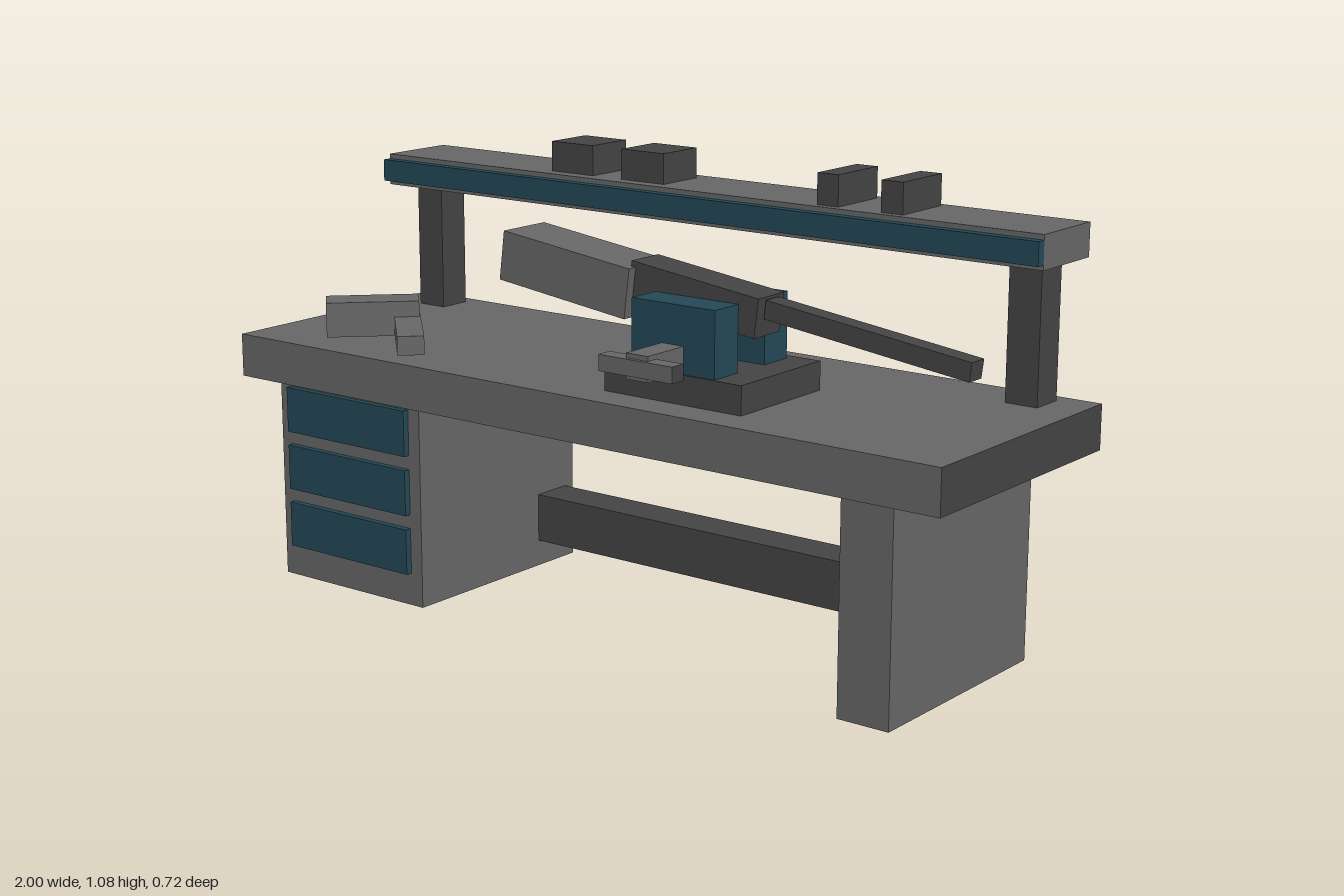
import * as THREE from 'three';

const mat = (name, color) => {
  const m = new THREE.MeshStandardMaterial({ color });
  m.name = name;
  return m;
};

export function createModel() {
  const grey = mat('mid grey', 0x666666);
  const dark = mat('dark grey', 0x444444);
  const teal = mat('dark teal', 0x244856);
  const root = new THREE.Group();

  // box from its extents on each axis
  const box = (name, m, [x0, x1], [y0, y1], [z0, z1]) => {
    const mesh = new THREE.Mesh(new THREE.BoxGeometry(x1 - x0, y1 - y0, z1 - z0), m);
    mesh.position.set((x0 + x1) / 2, (y0 + y1) / 2, (z0 + z1) / 2);
    mesh.name = name;
    root.add(mesh);
    return mesh;
  };
  // box from its centre and size, turned about y and z
  const turned = (name, m, pos, size, ry, rz) => {
    const mesh = new THREE.Mesh(new THREE.BoxGeometry(...size), m);
    mesh.position.set(...pos);
    mesh.rotation.set(0, ry, rz);
    mesh.name = name;
    root.add(mesh);
    return mesh;
  };

  // bench: slab with dark ends and underside (+x, -x, +y, -y, +z, -z)
  box('benchTop', [dark, dark, grey, dark, grey, grey], [-1, 1], [0.503, 0.608], [-0.345, 0.32]);
  box('drawerCabinet', grey, [-0.92, -0.46], [0, 0.503], [-0.295, 0.27]);
  box('sideLeg', grey, [0.73, 0.86], [0, 0.503], [-0.295, 0.27]);
  box('stretcher', dark, [-0.46, 0.73], [0.065, 0.185], [-0.265, -0.16]);
  for (const y of [0.08, 0.226, 0.372]) {
    box('drawerFront', teal, [-0.885, -0.495], [y, y + 0.112], [0.27, 0.286]);
  }

  // raised shelf
  for (const s of [-1, 1]) {
    const x = s * 0.868;
    box('shelfPost', dark, [x - 0.04, x + 0.04], [0.608, 0.924], [-0.308, -0.223]);
  }
  box('shelf', grey, [-0.945, 0.945], [0.924, 1.002], [-0.36, -0.16]);
  box('shelfFrontStrip', teal, [-0.945, 0.945], [0.936, 0.99], [-0.16, -0.137]);

  // small boxes on the shelf
  for (const x of [-0.435, -0.22]) {
    box('shelfBox', dark, [x, x + 0.128], [1.002, 1.075], [-0.323, -0.195]);
  }
  for (const x of [0.354, 0.524]) {
    box('narrowShelfBox', dark, [x, x + 0.057], [1.002, 1.075], [-0.34, -0.18]);
  }

  // vise
  box('viseBase', dark, [0.07, 0.445], [0.608, 0.675], [-0.07, 0.23]);
  box('rearJaw', teal, [0.143, 0.37], [0.675, 0.828], [-0.046, 0.04]);
  box('frontJaw', teal, [0.143, 0.37], [0.675, 0.828], [0.14, 0.225]);
  box('viseScrew', grey, [0.226, 0.286], [0.68, 0.738], [0.225, 0.35]);
  box('viseHandle', [dark, dark, grey, grey, grey, grey], [0.158, 0.358], [0.69, 0.727], [0.32, 0.36]);

  // clamped workpiece, tilted down toward +x
  const tilt = -0.125;
  turned('stock', grey, [-0.105, 0.84, 0.09], [0.37, 0.117, 0.143], 0, tilt);
  turned('receiver', dark, [0.243, 0.823, 0.09], [0.35, 0.09, 0.096], 0, tilt);
  turned('barrel', dark, [0.68, 0.786, 0.09], [0.52, 0.043, 0.048], 0, tilt);
  turned('grip', dark, [0.125, 0.75, 0.09], [0.09, 0.125, 0.075], 0, tilt);

  // tool lying on the bench
  turned('toolBody', grey, [-0.74, 0.128, 0].map((v, i) => [-0.74, 0.656, 0.128][i]), [0.225, 0.085, 0.09], Math.PI / 4, 0);
  turned('toolHandle', grey, [-0.585, 0.637, 0.165], [0.26, 0.046, 0.064], -Math.PI / 4, 0);
  return root;
}
